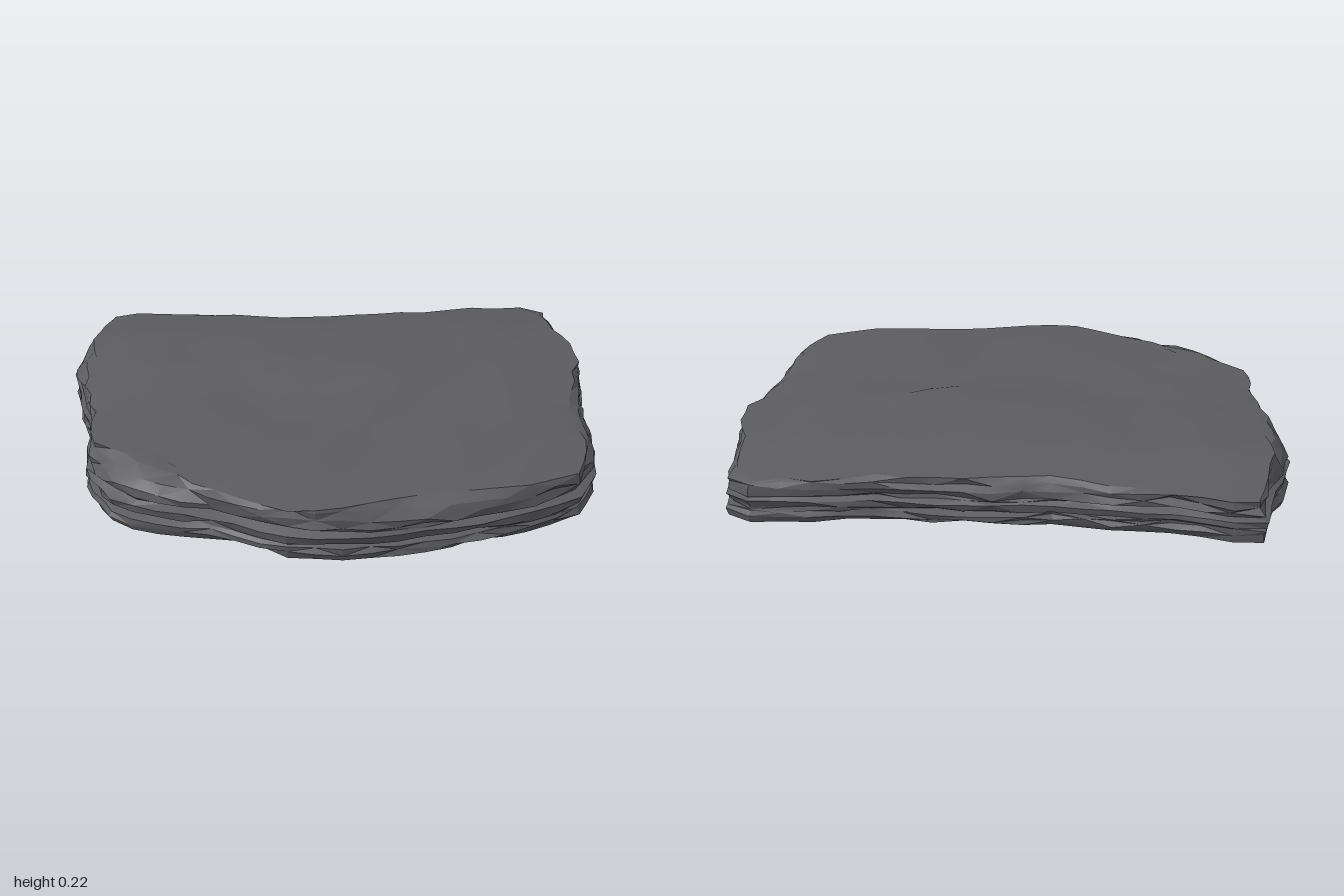
import * as THREE from 'three';
import { toCreasedNormals } from 'three/addons/utils/BufferGeometryUtils.js';

const N = 18; // segments along each of the four sides

// Plan outline as x, z pairs: back, +x side, front, -x side
const SIDES = [
  [-0.9, -0.77, -0.83, -0.787, -0.6, -0.745, -0.4, -0.745, -0.22, -0.705, 0, -0.72, 0.3, -0.735, 0.43, -0.735, 0.62, -0.77, 0.85, -0.785, 0.93, -0.735],
  [0.93, -0.735, 0.95, -0.55, 1, -0.32, 0.995, -0.22, 0.96, 0, 0.955, 0.3, 0.94, 0.42, 0.86, 0.56],
  [0.86, 0.56, 0.7, 0.64, 0.5, 0.69, 0.3, 0.735, 0.1, 0.77, -0.03, 0.782, -0.2, 0.765, -0.4, 0.665, -0.7, 0.585, -0.8, 0.515],
  [-0.8, 0.515, -0.88, 0.37, -0.9, 0.3, -0.9, 0.05, -0.95, -0.1, -1, -0.35, -0.97, -0.5, -0.92, -0.6, -0.9, -0.77],
];

// Layered edge: fraction of the height, inset from the outline
const LAYERS = [
  [0, 0.02], [0.12, 0.004], [0.23, 0.006], [0.28, 0.035], [0.35, 0.006], [0.5, 0],
  [0.56, 0.035], [0.63, 0.01], [0.78, 0.012], [0.92, 0.03], [1, 0.055],
];

// Scars in the top face: x, z, length, angle, depth
const SCARS = [
  [0.18, 0.34, 0.16, 0.9, 0.012], [0.62, 0.45, 0.18, 0, 0.01], [-0.3, 0.06, 0.22, 0.8, 0.012],
  [-0.78, -0.06, 0.2, -0.9, 0.01], [0.34, 0.06, 0.2, -1.2, 0.01], [-0.1, -0.35, 0.2, 0.8, 0.01],
];

let seed = 7;
function rand() {
  seed = (seed * 16807) % 2147483647;
  return seed / 2147483647;
}

const smooth = THREE.MathUtils.smoothstep;

// Height of the top face: falls away at the back, with a broken step across the middle
function topHeight(x, z) {
  let y = 0.204 - 0.055 * smooth(-z, 0.45, 0.8) - 0.012 * smooth(z, 0.45, 0.8);
  y -= 0.012 * smooth(Math.abs(x), 0.65, 0.95);
  const edge = -0.05 + 0.03 * Math.sin(x * 7);
  y += 0.016 * smooth(-z, -edge - 0.04, -edge + 0.04) * (1 - smooth(-z, 0.2, 0.5))
    * smooth(x, -0.5, -0.15) * (1 - smooth(x, 0.3, 0.48));
  y += 0.003 * Math.sin(x * 8 + z * 3) * Math.cos(z * 9 - x * 2);
  for (const [sx, sz, length, angle, depth] of SCARS) {
    const dx = x - sx, dz = z - sz;
    const along = (dx * Math.cos(angle) + dz * Math.sin(angle)) / length;
    const across = (dz * Math.cos(angle) - dx * Math.sin(angle)) / 0.06;
    y -= depth * Math.exp(-4 * along * along - across * across);
  }
  return y;
}

function outlinePoints() {
  const points = [];
  for (const side of SIDES) {
    const path = new THREE.Path();
    path.moveTo(side[0], side[1]);
    for (let i = 2; i < side.length; i += 2) path.lineTo(side[i], side[i + 1]);
    points.push(...path.getSpacedPoints(N).slice(0, N));
  }
  return points;
}

function slabGeometry() {
  const outline = outlinePoints();
  const count = outline.length;
  const position = [];
  const index = [];
  const vertex = (x, y, z) => position.push(x, y, z) / 3 - 1;

  // Rings of chipped rock, bottom to top
  const rings = LAYERS.map(([f, inset], layer) => outline.map((p, i) => {
    const r = p.length();
    const worn = 0.6 + 0.45 * smooth(p.y, -0.7, -0.2) + 0.5 * smooth(-p.x, 0.3, 0.7);
    const notch = 0.75 + 0.45 * Math.sin(i * 0.55 + layer);
    const chip = f === 0.5 || f === 0.12 ? 0.012 : 0.022;
    const d = inset * worn * notch + chip * rand() * rand() * 1.6
      + 0.03 * f * smooth(p.y, 0.3, 0.5) * smooth(-p.x, 0.5, 0.7);
    const s = 1 - d / r;
    const x = p.x * s, z = p.y * s;
    const wave = layer > 0 && layer < LAYERS.length - 1
      ? 0.008 * Math.sin(i * 0.4 + 1) + 0.009 * (rand() - 0.5) : 0;
    return vertex(x, Math.max(0, topHeight(x, z) * f + wave), z);
  }));
  for (let k = 0; k < rings.length - 1; k++) {
    for (let i = 0; i < count; i++) {
      const j = (i + 1) % count;
      const a = rings[k][i], b = rings[k][j], c = rings[k + 1][i], d = rings[k + 1][j];
      if ((i + k) % 2) index.push(b, a, c, b, c, d);
      else index.push(b, a, d, a, c, d);
    }
  }

  // Flat underside
  const middle = vertex(0, 0, 0);
  for (let i = 0; i < count; i++) index.push(middle, rings[0][i], rings[0][(i + 1) % count]);

  // Top face: a grid blended between the four sides of the last ring
  const rim = rings[rings.length - 1];
  const at = (id) => new THREE.Vector2(position[id * 3], position[id * 3 + 2]);
  const back = (u) => rim[u], right = (v) => rim[N + v];
  const front = (u) => rim[3 * N - u], left = (v) => rim[(4 * N - v) % count];
  const grid = [];
  for (let v = 0; v <= N; v++) {
    grid.push([]);
    for (let u = 0; u <= N; u++) {
      let id;
      if (v === 0) id = back(u);
      else if (v === N) id = front(u);
      else if (u === 0) id = left(v);
      else if (u === N) id = right(v);
      else {
        const s = u / N, t = v / N;
        const p = at(back(u)).multiplyScalar(1 - t).addScaledVector(at(front(u)), t)
          .addScaledVector(at(left(v)), 1 - s).addScaledVector(at(right(v)), s)
          .addScaledVector(at(back(0)), -(1 - s) * (1 - t)).addScaledVector(at(back(N)), -s * (1 - t))
          .addScaledVector(at(front(0)), -(1 - s) * t).addScaledVector(at(front(N)), -s * t);
        p.x += 0.04 * (rand() - 0.5);
        p.y += 0.035 * (rand() - 0.5);
        id = vertex(p.x, topHeight(p.x, p.y) + 0.005 * (rand() - 0.5), p.y);
      }
      grid[v].push(id);
    }
  }
  for (let v = 0; v < N; v++) {
    for (let u = 0; u < N; u++) {
      const a = grid[v][u], b = grid[v][u + 1], c = grid[v + 1][u], d = grid[v + 1][u + 1];
      index.push(a, c, b, b, c, d);
    }
  }

  const geometry = new THREE.BufferGeometry();
  geometry.setAttribute('position', new THREE.Float32BufferAttribute(position, 3));
  geometry.setIndex(index);
  return toCreasedNormals(geometry, 0.35);
}

export function createModel() {
  seed = 7;
  const stone = new THREE.MeshStandardMaterial({ color: 0x5c5c5f });
  stone.name = 'dark grey stone';
  const slab = new THREE.Mesh(slabGeometry(), stone);
  slab.name = 'rockSlab';
  const group = new THREE.Group();
  group.name = 'flatRock';
  group.add(slab);
  return group;
}
